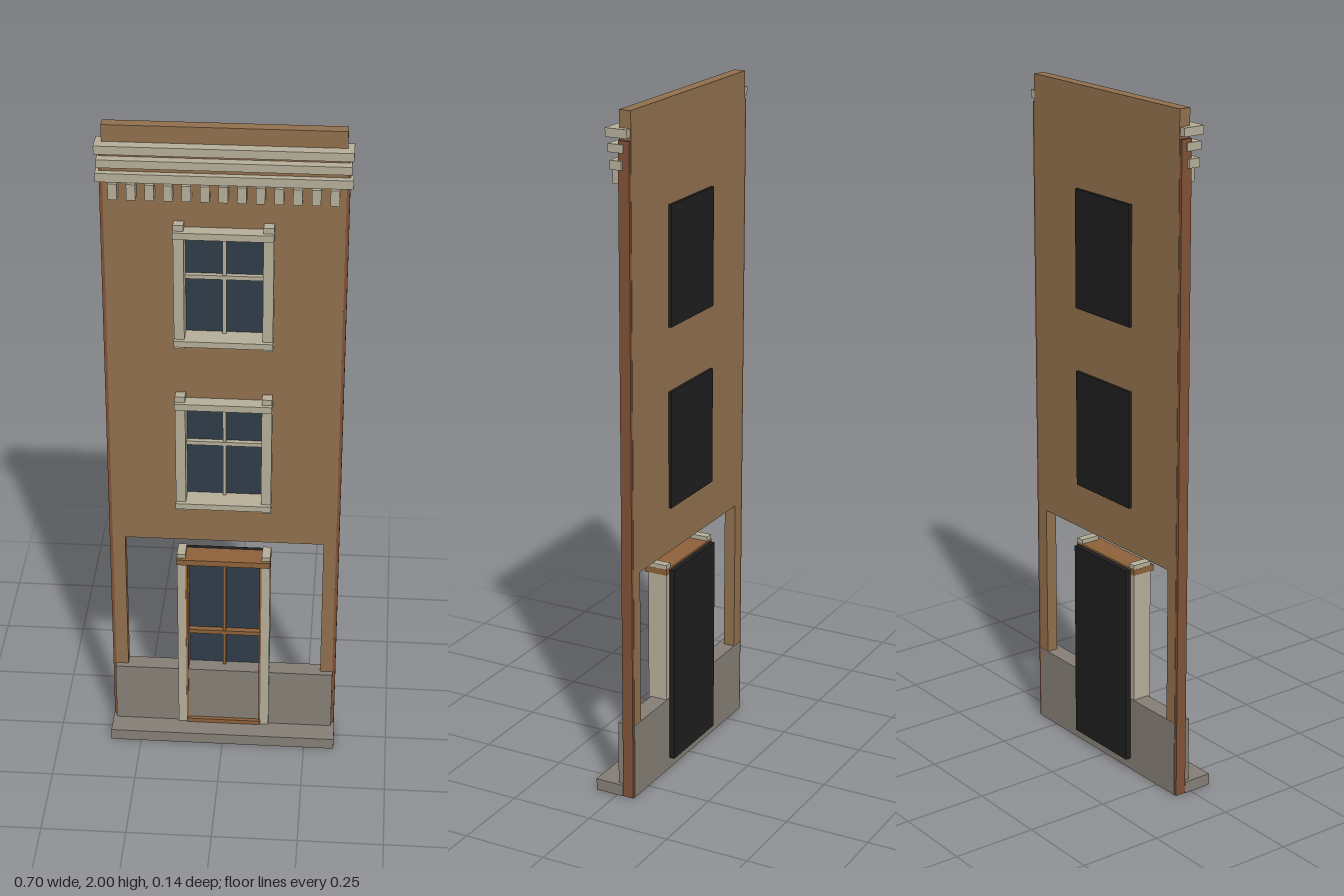
import * as THREE from 'three';

const material = (name, color) => {
  const m = new THREE.MeshStandardMaterial({ color });
  m.name = name;
  return m;
};

export function createModel() {
  const model = new THREE.Group();
  model.name = 'townhouseFacade';
  const brick = material('brickBrown', 0x8f6e4c);
  const edge = material('edgeBrown', 0x7d5035);
  const wood = material('doorWood', 0x8c6039);
  const trim = material('creamTrim', 0xb3ac97);
  const stone = material('greyStone', 0x837d74);
  const glass = material('darkGlass', 0x2e3b47);
  const black = material('blackBacking', 0x1e1e1e);

  // Box given by its limits on each axis
  function box(name, mat, x0, x1, y0, y1, z0, z1, parent = model) {
    const mesh = new THREE.Mesh(new THREE.BoxGeometry(x1 - x0, y1 - y0, z1 - z0), mat);
    mesh.position.set((x0 + x1) / 2, (y0 + y1) / 2, (z0 + z1) / 2);
    mesh.name = name;
    parent.add(mesh);
    return mesh;
  }
  const wide = (name, mat, w, ...rest) => box(name, mat, -w, w, ...rest);
  const pair = (name, mat, x0, x1, ...rest) => {
    box(name + 'Left', mat, x0, x1, ...rest);
    box(name + 'Right', mat, -x1, -x0, ...rest);
  };

  // Wall with shopfront notch and two window holes
  const outline = new THREE.Shape([
    [-0.33, 0], [-0.293, 0], [-0.293, 0.69], [0.293, 0.69],
    [0.293, 0], [0.33, 0], [0.33, 2], [-0.33, 2],
  ].map(([x, y]) => new THREE.Vector2(x, y)));
  const floors = [0, 0.535];
  for (const y of floors) {
    outline.holes.push(new THREE.Path([
      [-0.12, 0.83 + y], [-0.12, 1.165 + y], [0.12, 1.165 + y], [0.12, 0.83 + y],
    ].map(([px, py]) => new THREE.Vector2(px, py))));
  }
  const wall = new THREE.Mesh(
    new THREE.ExtrudeGeometry(outline, { depth: 0.035, bevelEnabled: false }), brick);
  wall.position.z = -0.053;
  wall.name = 'wall';
  model.add(wall);
  pair('sideStrip', edge, 0.33, 0.339, 0.0, 1.92, -0.052, -0.019);

  // Stone base and front step
  wide('stoneBase', stone, 0.3305, 0, 0.228, -0.0537, 0);
  wide('frontStep', stone, 0.341, 0, 0.035, -0.02, 0.068);

  // Windows
  floors.forEach((dy, i) => {
    const w = new THREE.Group();
    w.name = i ? 'upperWindow' : 'lowerWindow';
    w.position.y = dy;
    model.add(w);
    for (const s of [-1, 1]) {
      box('jamb', trim, s * 0.1235 - 0.0145, s * 0.1235 + 0.0145, 0.81, 1.19, -0.018, 0.011, w);
      box('reveal', trim, s * 0.1145 - 0.0055, s * 0.1145 + 0.0055, 0.83, 1.165, -0.052, -0.018, w);
      box('capBlock', trim, s * 0.1235 - 0.0145, s * 0.1235 + 0.0145, 1.172, 1.19, -0.018, 0.012, w);
    }
    wide('header', trim, 0.1385, 1.153, 1.173, -0.0175, 0.024, w);
    wide('sill', trim, 0.1385, 0.822, 0.84, -0.0175, 0.024, w);
    wide('innerHead', trim, 0.109, 1.153, 1.165, -0.052, -0.0175, w);
    wide('innerSill', trim, 0.109, 0.83, 0.84, -0.052, -0.0175, w);
    wide('glass', glass, 0.109, 0.84, 1.153, -0.053, -0.045, w);
    wide('crossBar', trim, 0.109, 1.009, 1.021, -0.045, -0.03, w);
    wide('uprightBar', trim, 0.005, 0.84, 1.153, -0.045, -0.033, w);
    wide('backing', black, 0.125, 0.825, 1.172, -0.062, -0.053, w);
  });

  // Door
  pair('doorJamb', trim, 0.113, 0.138, 0.035, 0.652, -0.052, 0.007);
  pair('doorStile', wood, 0.107, 0.113, 0.037, 0.62, -0.05, 0.004);
  wide('doorHeader', wood, 0.1385, 0.621, 0.639, -0.053, 0.018);
  wide('doorThreshold', wood, 0.112, 0.036, 0.049, -0.01, 0.012);
  wide('doorGlass', glass, 0.112, 0.2, 0.621, -0.056, -0.048);
  wide('doorCrossBar', wood, 0.108, 0.342, 0.355, -0.048, -0.03);
  wide('doorUprightBar', wood, 0.005, 0.228, 0.621, -0.048, -0.033);
  wide('doorBacking', black, 0.125, 0.035, 0.635, -0.071, -0.055);

  // Cornice mouldings and dentils
  wide('corniceTop', trim, 0.348, 1.928, 1.952, -0.051, 0.015);
  wide('corniceMiddle', trim, 0.343, 1.887, 1.91, -0.036, 0.01);
  wide('corniceLower', trim, 0.348, 1.842, 1.867, -0.033, 0.002);
  for (let i = -6; i <= 6; i++) {
    box('dentil', trim, i * 0.05 - 0.0125, i * 0.05 + 0.0125, 1.796, 1.842, -0.02, 0.013);
  }
  return model;
}
